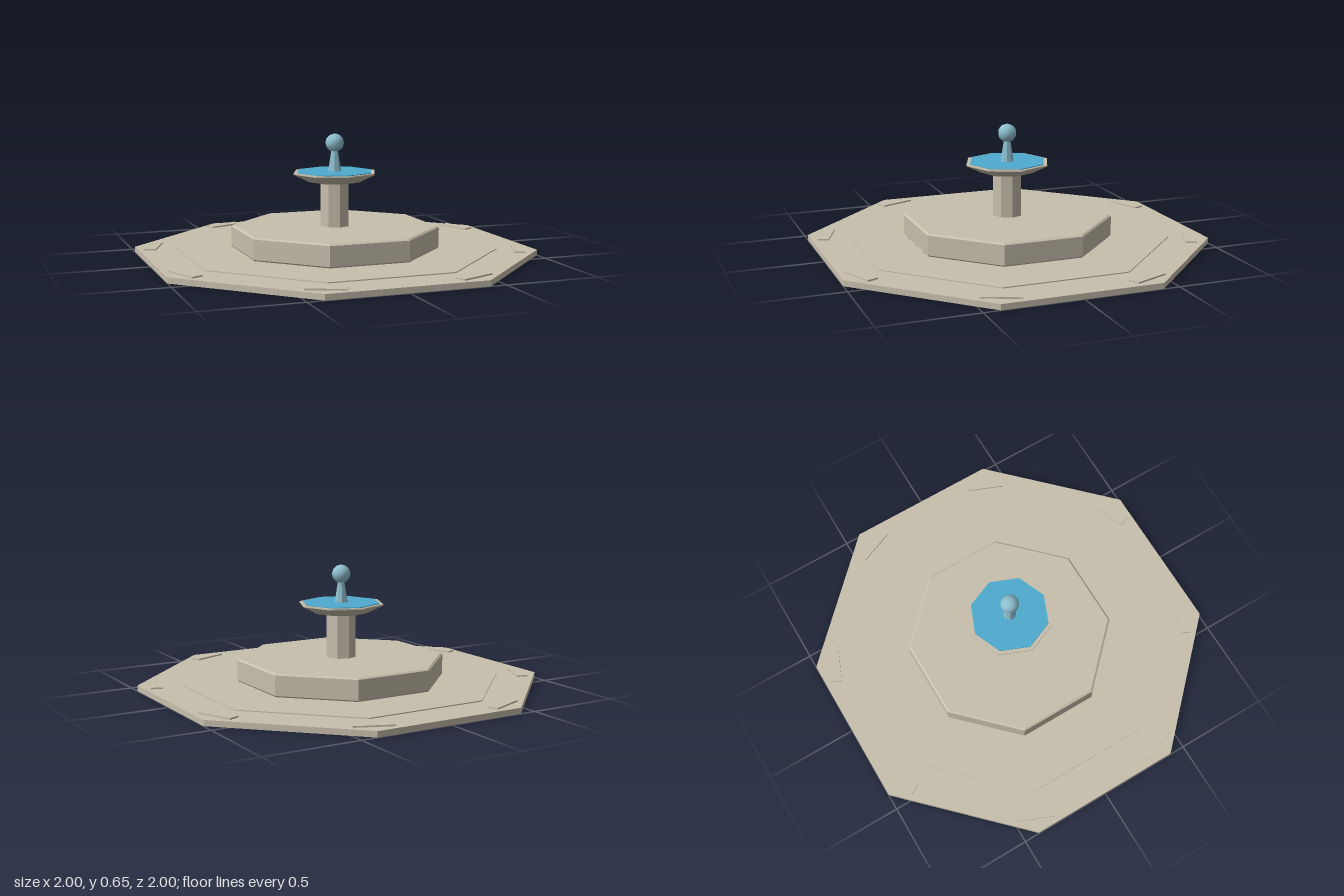
import * as THREE from 'three';

const mat = (name, color) => Object.assign(new THREE.MeshStandardMaterial({ color }), { name });

// Eight-sided solid of stacked [radius, y] rings, closed top and bottom, with flat faces
function octagon(name, material, profile, turn = 0) {
  const points = [[0, profile[0][1]], ...profile, [0, profile.at(-1)[1]]]
    .map(([r, y]) => new THREE.Vector2(r, y));
  const geometry = new THREE.LatheGeometry(points, 8).toNonIndexed();
  geometry.computeVertexNormals();
  geometry.rotateY(turn);
  const mesh = new THREE.Mesh(geometry, material);
  mesh.name = name;
  return mesh;
}

export function createModel() {
  const stone = mat('stone', 0xc8bfad);
  const water = mat('water', 0x4fabd0);
  const spray = mat('spray', 0x8fc0d0);
  const model = new THREE.Group();
  model.name = 'fountain';

  const flat = Math.PI / 8;               // turns a flat side to the front
  const k = 1 / Math.cos(flat);           // apothem to corner radius

  // Paved plaza with a slightly raised inner step
  model.add(octagon('plaza', stone, [[k, 0], [k, 0.03]], flat));
  model.add(octagon('plazaStep', stone, [[0.8 * k, 0.028], [0.8 * k, 0.035]], flat));

  // Kerb slabs, one at each plaza corner
  const slabs = new THREE.Group();
  slabs.name = 'cornerSlabs';
  for (let i = 0; i < 8; i++) {
    const a = flat + i * Math.PI / 4;
    const slab = new THREE.Mesh(new THREE.BoxGeometry(0.2, 0.012, 0.06), stone);
    slab.name = 'cornerSlab';
    slab.position.set(Math.sin(a) * 0.98, 0.032, Math.cos(a) * 0.98);
    slab.rotation.y = a;
    slabs.add(slab);
  }
  model.add(slabs);

  // Plinth with bevelled edges
  model.add(octagon('plinth', stone, [
    [0.505 * k, 0.03], [0.515 * k, 0.042], [0.515 * k, 0.147], [0.505 * k, 0.155],
  ], flat));

  // Column and upper bowl, corners on the axes
  model.add(octagon('column', stone, [[0.08, 0.15], [0.08, 0.4]]));
  model.add(octagon('bowl', stone, [[0.145, 0.395], [0.23, 0.438], [0.23, 0.445]]));
  model.add(octagon('bowlWater', water, [[0.21, 0.442], [0.21, 0.449]]));

  // Jet and ball on top
  model.add(octagon('jet', spray, [[0.035, 0.445], [0.016, 0.57]], flat));
  const ball = new THREE.Mesh(new THREE.IcosahedronGeometry(0.05, 1), spray);
  ball.name = 'ball';
  ball.position.y = 0.6;
  model.add(ball);

  return model;
}
